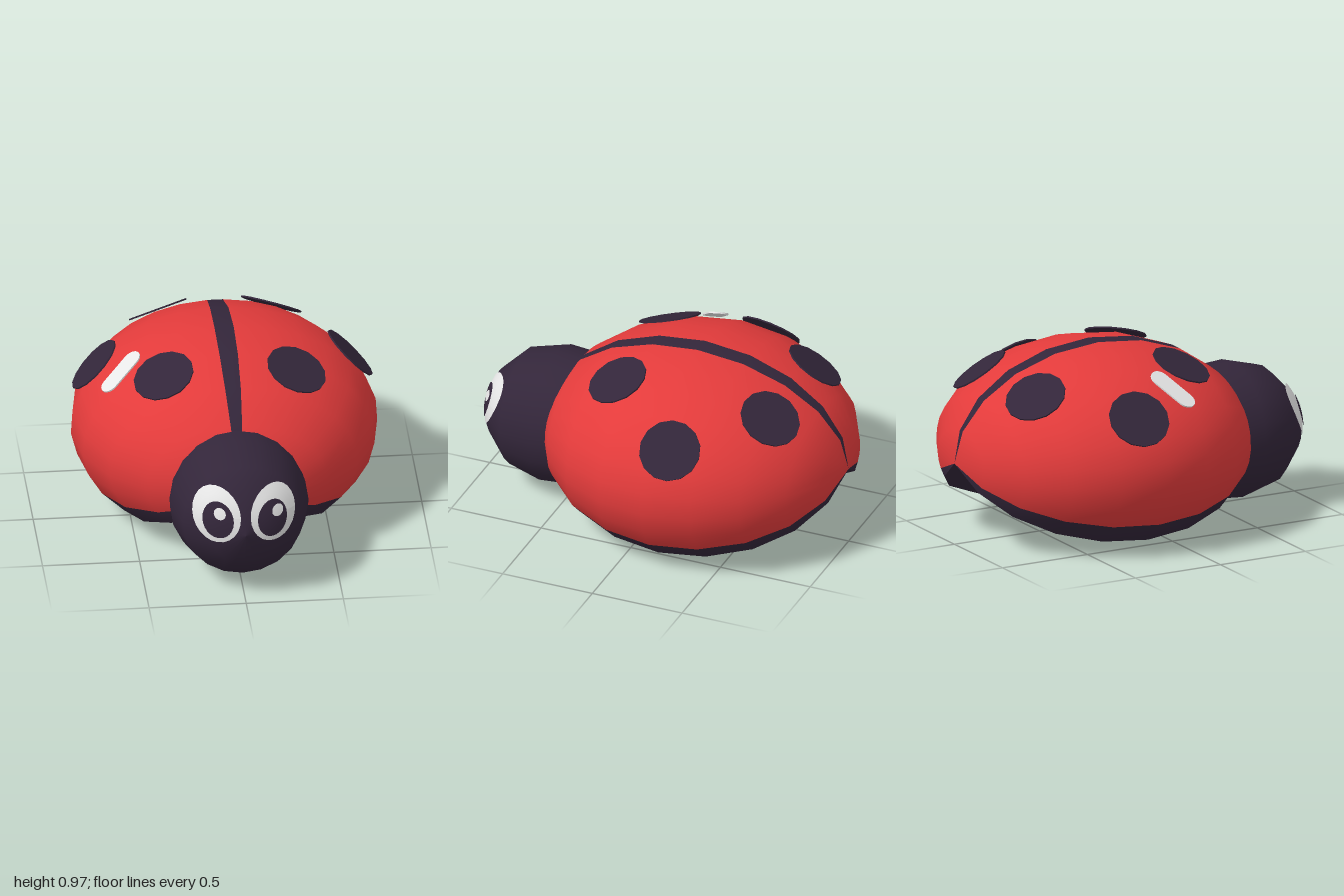
import * as THREE from 'three';

const RED = new THREE.MeshStandardMaterial({ color: 0xe33b3b });
RED.name = 'shellRed';
const DARK = new THREE.MeshStandardMaterial({ color: 0x33263a });
DARK.name = 'darkPlum';
const WHITE = new THREE.MeshStandardMaterial({ color: 0xf4f4f4 });
WHITE.name = 'white';

// Body ellipsoid: poles at the rear and front, rings along z
const C = new THREE.Vector3(0, 0.43, -0.18);
const R = new THREE.Vector3(0.79, 0.545, 0.82);
const RINGS = 10;
const RIM = -44.2, EDGE = -29.7, SEAM = 86.4;

function bodyPoint(ring, degrees) {
  const t = (ring / RINGS) * Math.PI, a = THREE.MathUtils.degToRad(degrees);
  return new THREE.Vector3(Math.cos(a) * Math.sin(t), Math.sin(a) * Math.sin(t), -Math.cos(t))
    .multiply(R).add(C);
}

function bodyNormal(p) {
  return p.clone().sub(C).divide(R).divide(R).normalize();
}

// Strip of the body between two angles, running from pole to pole
function bodyStrip(a0, a1, n) {
  const pos = [], nor = [], idx = [];
  for (let i = 0; i <= RINGS; i++) {
    for (let j = 0; j <= n; j++) {
      const p = bodyPoint(i, a0 + ((a1 - a0) * j) / n);
      pos.push(...p.toArray());
      nor.push(...bodyNormal(p).toArray());
      if (i < RINGS && j < n) {
        const k = i * (n + 1) + j, m = k + n + 1;
        idx.push(k, k + 1, m, k + 1, m + 1, m);
      }
    }
  }
  const g = new THREE.BufferGeometry();
  g.setAttribute('position', new THREE.Float32BufferAttribute(pos, 3));
  g.setAttribute('normal', new THREE.Float32BufferAttribute(nor, 3));
  g.setIndex(idx);
  return g;
}

// Shallow cone closing the body below the rim
function bellyGeometry() {
  const rim = [];
  for (let i = 0; i <= RINGS; i++) rim.push(bodyPoint(i, RIM));
  for (let i = RINGS - 1; i > 0; i--) rim.push(bodyPoint(i, 180 - RIM));
  const pos = [];
  rim.forEach((p, i) => {
    pos.push(0, 0, C.z, ...p.toArray(), ...rim[(i + 1) % rim.length].toArray());
  });
  const g = new THREE.BufferGeometry();
  g.setAttribute('position', new THREE.Float32BufferAttribute(pos, 3));
  g.computeVertexNormals();
  return g;
}

// Point on the upper shell above (x, z)
function shellAt(x, z) {
  const u = x / R.x, w = (z - C.z) / R.z;
  return new THREE.Vector3(x, C.y + R.y * Math.sqrt(1 - u * u - w * w), z);
}

// Oval patch wrapped over the front of the head
const HEAD = new THREE.Vector3(0, 0.387, 0.635);
const HEAD_R = 0.357;
function facePatch(x, y, rx, ry, lift) {
  const g = new THREE.RingGeometry(0, 1, 24, 4);
  const p = g.attributes.position;
  for (let i = 0; i < p.count; i++) {
    const px = x + p.getX(i) * rx, py = y + p.getY(i) * ry;
    const d = Math.hypot(px - HEAD.x, py - HEAD.y) / (HEAD_R + lift);
    p.setXYZ(i, px, py, HEAD.z + (HEAD_R + lift) * Math.sqrt(Math.max(0, 1 - d * d)));
  }
  g.computeVertexNormals();
  return g;
}

export function createModel() {
  const model = new THREE.Group();
  model.name = 'ladybird';
  const add = (name, geometry, material, parent = model) => {
    const m = new THREE.Mesh(geometry, material);
    m.name = name;
    parent.add(m);
    return m;
  };

  // Body
  add('leftWingCase', bodyStrip(EDGE, SEAM, 9), RED);
  add('rightWingCase', bodyStrip(180 - SEAM, 180 - EDGE, 9), RED);
  add('centreStripe', bodyStrip(SEAM, 180 - SEAM, 1), DARK);
  add('leftSkirt', bodyStrip(RIM, EDGE, 1), DARK);
  add('rightSkirt', bodyStrip(180 - EDGE, 180 - RIM, 1), DARK);
  add('belly', bellyGeometry(), DARK);

  // Spots: flat discs resting on the shell
  const up = new THREE.Vector3(0, 1, 0);
  const disc = new THREE.CylinderGeometry(0.16, 0.16, 0.008, 14);
  for (const [x, z] of [[0.29, -0.685], [0.655, -0.285], [0.34, 0.14]]) {
    for (const s of [1, -1]) {
      const p = shellAt(s * x, z), n = bodyNormal(p);
      const spot = add(s > 0 ? 'leftSpot' : 'rightSpot', disc, DARK);
      spot.position.copy(p).addScaledVector(n, 0.006);
      spot.quaternion.setFromUnitVectors(up, n);
    }
  }

  // Shine mark: rounded bar on the right wing case
  const bar = new THREE.Shape();
  bar.absarc(0.085, 0, 0.052, -Math.PI / 2, Math.PI / 2, false);
  bar.absarc(-0.085, 0, 0.052, Math.PI / 2, Math.PI * 1.5, false);
  const shine = add('shineMark',
    new THREE.ExtrudeGeometry(bar, { depth: 0.008, bevelEnabled: false, curveSegments: 6 }), WHITE);
  const sp = shellAt(-0.54, -0.025), sn = bodyNormal(sp);
  const along = shellAt(-0.47, -0.075).sub(shellAt(-0.61, 0.025));
  along.addScaledVector(sn, -along.dot(sn)).normalize();
  shine.quaternion.setFromRotationMatrix(
    new THREE.Matrix4().makeBasis(along, sn.clone().cross(along), sn));
  shine.position.copy(sp).addScaledVector(sn, 0.008);

  // Head: round front with a short tapering neck
  const profile = [new THREE.Vector2(0.34, -0.235)];
  for (let i = 0; i <= 3; i++) {
    const a = (i * Math.PI) / 6;
    profile.push(new THREE.Vector2(i < 3 ? HEAD_R * Math.cos(a) : 0, HEAD_R * Math.sin(a)));
  }
  const head = add('head', new THREE.LatheGeometry(profile, 20).rotateX(Math.PI / 2), DARK);
  head.position.copy(HEAD);
  const neck = add('neckCap', new THREE.CircleGeometry(0.34, 20).rotateY(Math.PI), DARK);
  neck.position.set(0, HEAD.y, HEAD.z - 0.235);

  // Eyes, with both glints shifted to the same side
  for (const s of [1, -1]) {
    const eye = new THREE.Group();
    eye.name = s > 0 ? 'leftEye' : 'rightEye';
    model.add(eye);
    add('eyeWhite', facePatch(s * 0.145, 0.485, 0.12, 0.14, 0.005), WHITE, eye);
    add('pupil', facePatch(s * 0.14, 0.467, 0.078, 0.094, 0.009), DARK, eye);
    add('glint', facePatch(s * 0.15 + 0.018, 0.505, 0.03, 0.03, 0.013), WHITE, eye);
  }
  return model;
}
